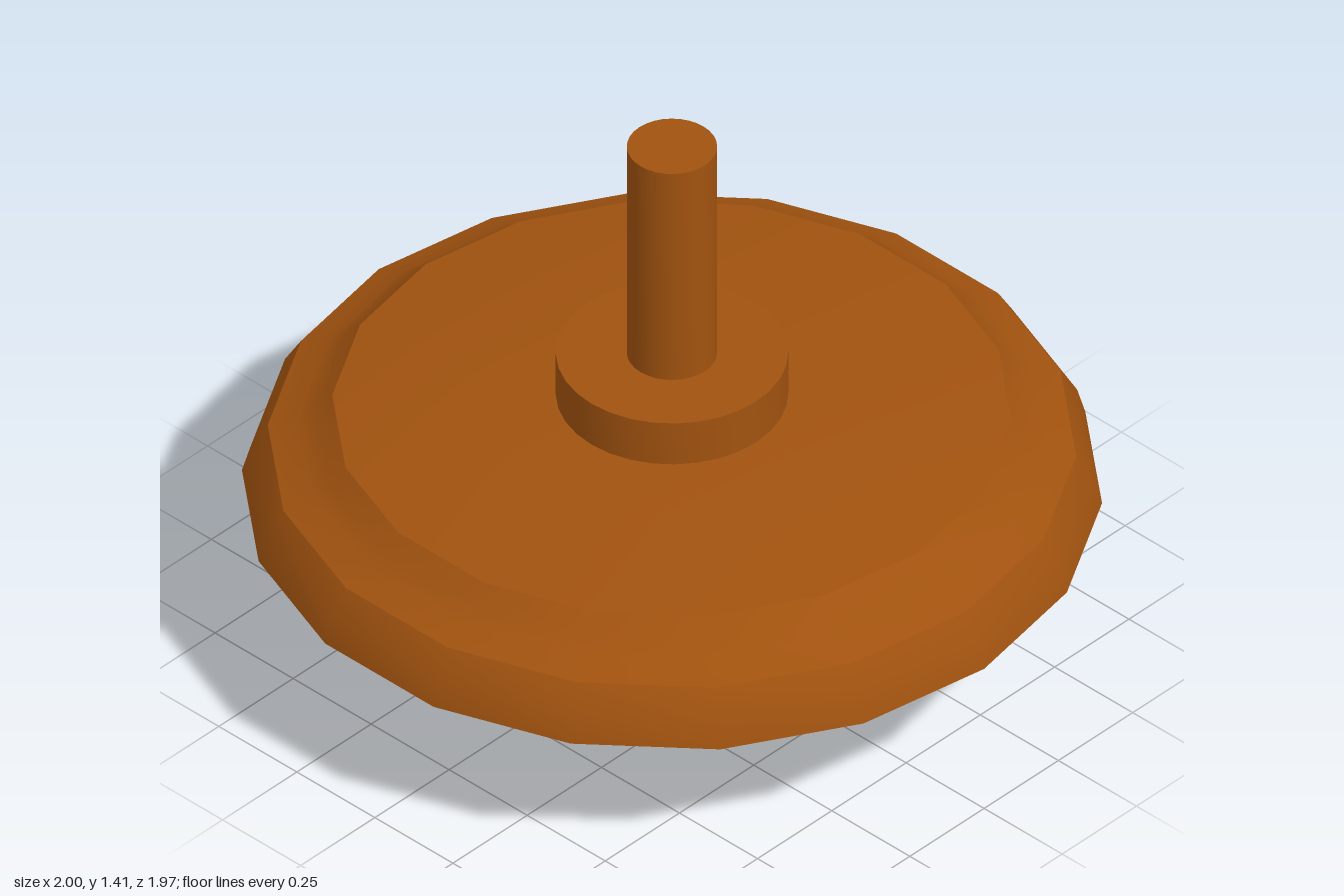
import * as THREE from 'three';
import { toCreasedNormals } from 'three/addons/utils/BufferGeometryUtils.js';

const material = (name, color) => {
  const m = new THREE.MeshStandardMaterial({ color });
  m.name = name;
  return m;
};

// Solid of revolution with smooth walls and sharp profile corners
function turned(name, profile, sides, mat, crease) {
  const points = profile.map(([r, y]) => new THREE.Vector2(r, y));
  const geometry = toCreasedNormals(new THREE.LatheGeometry(points, sides, Math.PI / 2), crease);
  const mesh = new THREE.Mesh(geometry, mat);
  mesh.name = name;
  return mesh;
}

export function createModel() {
  const brown = material('brown', 0xa0520f);
  const yellow = material('bulb yellow', 0xd2e610);
  const silver = material('silver', 0xd0d0d0);
  const group = new THREE.Group();
  group.name = 'ceilingLamp';

  // Shade: hollow stepped dish, from inner ceiling over the rim to the outer top
  group.add(turned('shade', [
    [0, 0.635], [0.45, 0.635], [0.775, 0.59],
    [0.81, 0.55], [0.85, 0.525], [0.92, 0.495],
    [0.94, 0.45], [0.95, 0.395],
    [1, 0.41], [0.98, 0.48], [0.94, 0.545],
    [0.87, 0.573], [0.83, 0.6], [0.79, 0.64],
    [0.45, 0.685], [0, 0.685],
  ], 18, brown, 0.5));

  // Mounting collar and hanging rod
  group.add(turned('collar', [[0, 0.67], [0.27, 0.67], [0.27, 0.805], [0, 0.805]], 32, brown, 0.5));
  group.add(turned('rod', [[0, 0.79], [0.105, 0.79], [0.105, 1.41], [0, 1.41]], 32, brown, 0.5));

  // Socket cone and bulb
  group.add(turned('socket', [[0, 0.42], [0.045, 0.42], [0.125, 0.62], [0.125, 0.64], [0, 0.64]], 32, silver, 0.7));
  group.add(turned('bulb', [
    [0, 0], [0.06, 0.003], [0.1, 0.024], [0.163, 0.088], [0.178, 0.13],
    [0.178, 0.31], [0.163, 0.352], [0.1, 0.416], [0.06, 0.437], [0, 0.44],
  ], 32, yellow, 0.9));

  return group;
}
